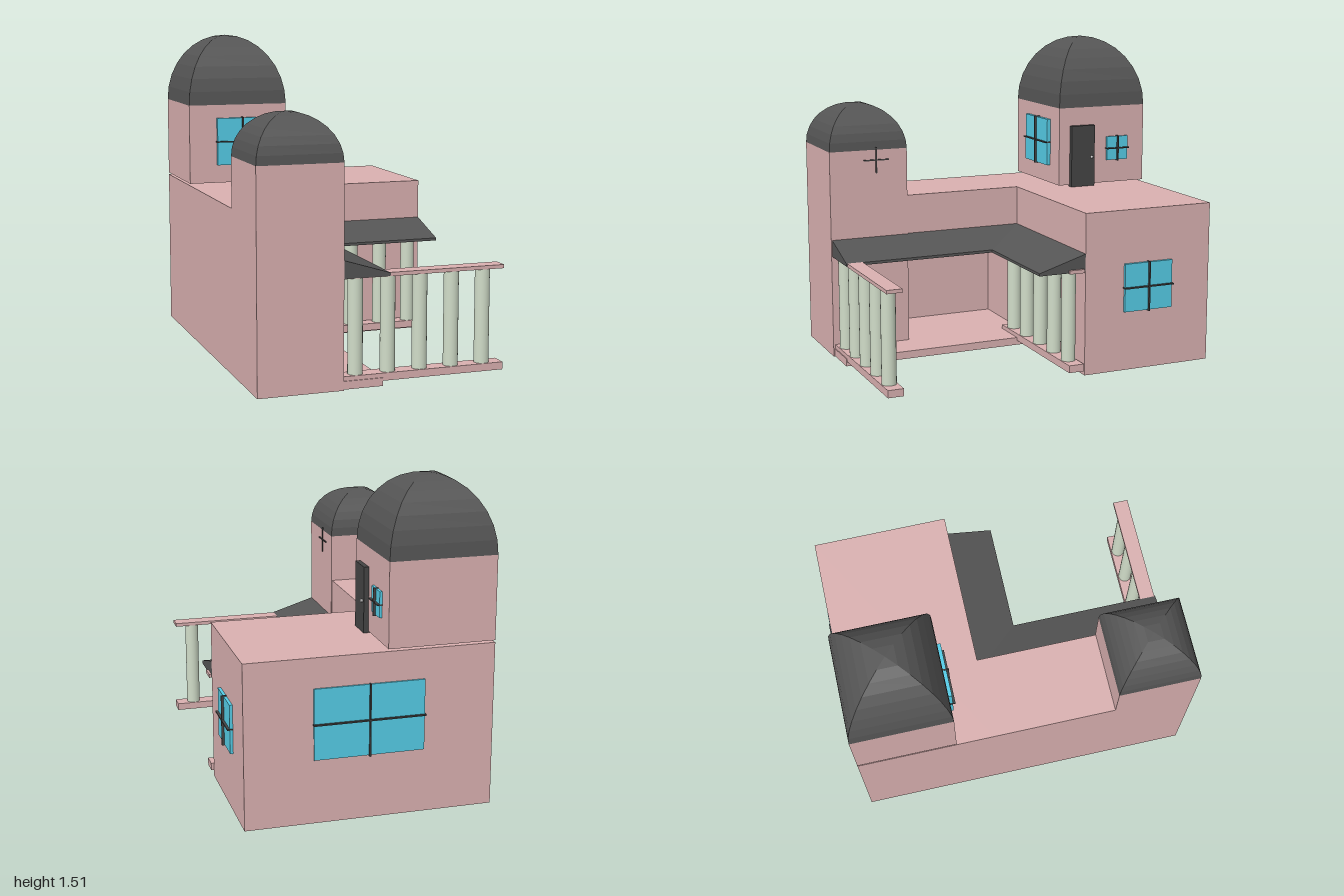
import * as THREE from 'three';

const mat = (color) => new THREE.MeshStandardMaterial({ color, flatShading: true });

export function createModel() {
  const model = new THREE.Group();
  // The house is laid out on its own axes (u, y, v), then turned on the ground
  const house = new THREE.Group();
  house.name = 'house';
  house.position.set(-0.95, 0, -0.33);
  house.rotation.y = 0.62;
  model.add(house);

  const pink = mat(0xd9b0b0), dark = mat(0x555555), blue = mat(0x55cce6);
  const green = new THREE.MeshStandardMaterial({ color: 0xd0dcc8 });
  const doorMat = mat(0x444444), metal = mat(0xcccccc);

  const add = (name, geometry, material, parent = house) => {
    const mesh = new THREE.Mesh(geometry, material);
    mesh.name = name;
    parent.add(mesh);
    return mesh;
  };
  // Box given by its extents
  const box = (name, u0, u1, y0, y1, v0, v1, material = pink, parent = house) => {
    const mesh = add(name, new THREE.BoxGeometry(u1 - u0, y1 - y0, v1 - v0), material, parent);
    mesh.position.set((u0 + u1) / 2, (y0 + y1) / 2, (v0 + v1) / 2);
    return mesh;
  };

  // Main block and the wing with its open room below
  box('mainBlock', 0, 1.154, 0, 0.77, 0, 0.66);
  box('wingUpperWall', 0, 0.39, 0.505, 0.77, 0.66, 1.25);
  box('wingBackWall', 0, 0.02, 0, 0.505, 0.66, 1.25);
  box('wingCeiling', 0.02, 0.39, 0.497, 0.505, 0.66, 1.25, dark);
  box('deck', 0.01, 0.58, 0.003, 0.04, 0.66, 1.635);

  // Square towers with four-sided domes
  const tower = (name, u0, u1, y0, y1, v0, v1, rise) => {
    const group = new THREE.Group();
    group.name = name;
    house.add(group);
    box('towerWalls', u0, u1, y0, y1, v0, v1, pink, group);
    const dome = new THREE.SphereGeometry(1, 4, 8, 0, Math.PI * 2, 0, Math.PI / 2);
    dome.rotateY(Math.PI / 4);
    dome.scale((u1 - u0) / Math.SQRT2, rise, (v1 - v0) / Math.SQRT2);
    dome.translate((u0 + u1) / 2, y1, (v0 + v1) / 2);
    add('towerDome', dome, dark, group);
  };
  tower('tallTower', 0, 0.5, 0.78, 1.17, 0, 0.477, 0.34);
  tower('shortTower', 0, 0.395, 0, 1.005, 1.25, 1.64, 0.212);

  // Mitred porch roof: a sloping wedge swept around the inner corner
  const stations = [
    [1.154, 0.66, 1.154, 0.894],
    [0.39, 0.66, 0.615, 0.894],
    [0.39, 1.635, 0.615, 1.635],
  ].map(([wu, wv, ou, ov]) => [
    [wu, 0.497, wv], [ou, 0.497, ov], [ou, 0.51, ov], [wu, 0.58, wv],
  ]);
  const tri = [];
  const quad = (a, b, c, d) => tri.push(...a, ...b, ...c, ...a, ...c, ...d);
  for (let s = 0; s < 2; s++) {
    for (let k = 0; k < 4; k++) {
      const n = (k + 1) % 4;
      quad(stations[s][k], stations[s + 1][k], stations[s + 1][n], stations[s][n]);
    }
  }
  quad(...stations[0]);
  quad(...[...stations[2]].reverse());
  const roof = new THREE.BufferGeometry();
  roof.setAttribute('position', new THREE.Float32BufferAttribute(tri, 3));
  roof.computeVertexNormals();
  const roofMat = mat(0x555555);
  roofMat.side = THREE.DoubleSide;
  add('porchRoof', roof, roofMat);

  // Two colonnades: along the main wall and at the end of the porch
  for (const v of [0.707, 1.593]) {
    const row = new THREE.Group();
    row.name = 'colonnade';
    house.add(row);
    box('topBeam', 0.395, 1.165, 0.494, 0.511, v - 0.0375, v + 0.0375, pink, row);
    box('bottomBeam', 0.395, 1.165, 0.025, 0.06, v - 0.0375, v + 0.0375, pink, row);
    for (let i = 0; i < 5; i++) {
      const column = add('column', new THREE.CylinderGeometry(0.034, 0.034, 0.436, 20), green, row);
      column.position.set(0.463 + i * 0.153, 0.277, v);
    }
  }

  // Window: pane with thin crossed bars, facing local +z
  const makeWindow = (name, u, y, v, width, height, turn, depth = 0.014) => {
    const group = new THREE.Group();
    group.name = name;
    group.position.set(u, y, v);
    group.rotation.y = turn;
    house.add(group);
    const w = width / 2, h = height / 2;
    box('pane', -w, w, -h, h, -0.01, depth, blue, group);
    box('uprightBar', -0.003, 0.003, -h - 0.004, h + 0.004, -0.005, depth + 0.012, doorMat, group);
    box('crossBar', -w - 0.004, w + 0.004, -0.003, 0.003, -0.005, depth + 0.012, doorMat, group);
  };
  const side = Math.PI / 2;
  makeWindow('backWindow', 0.584, 0.465, 0, 0.51, 0.33, Math.PI, 0.008);
  makeWindow('sideWindow', 1.154, 0.4, 0.333, 0.25, 0.23, side);
  makeWindow('tallTowerWindow', 0.268, 0.987, 0.477, 0.258, 0.235, 0, 0.018);
  makeWindow('tallTowerSmallWindow', 0.5, 0.955, 0.154, 0.117, 0.12, side, 0.012);
  makeWindow('shortTowerWindow', 0.395, 0.955, 1.407, 0.117, 0.12, side, -0.006);

  // Roof door with its knob
  box('roofDoor', 0.49, 0.523, 0.772, 1.08, 0.289, 0.418, doorMat);
  const knob = add('doorKnob', new THREE.SphereGeometry(0.008, 10, 8), metal);
  knob.position.set(0.528, 0.92, 0.307);

  return model;
}
